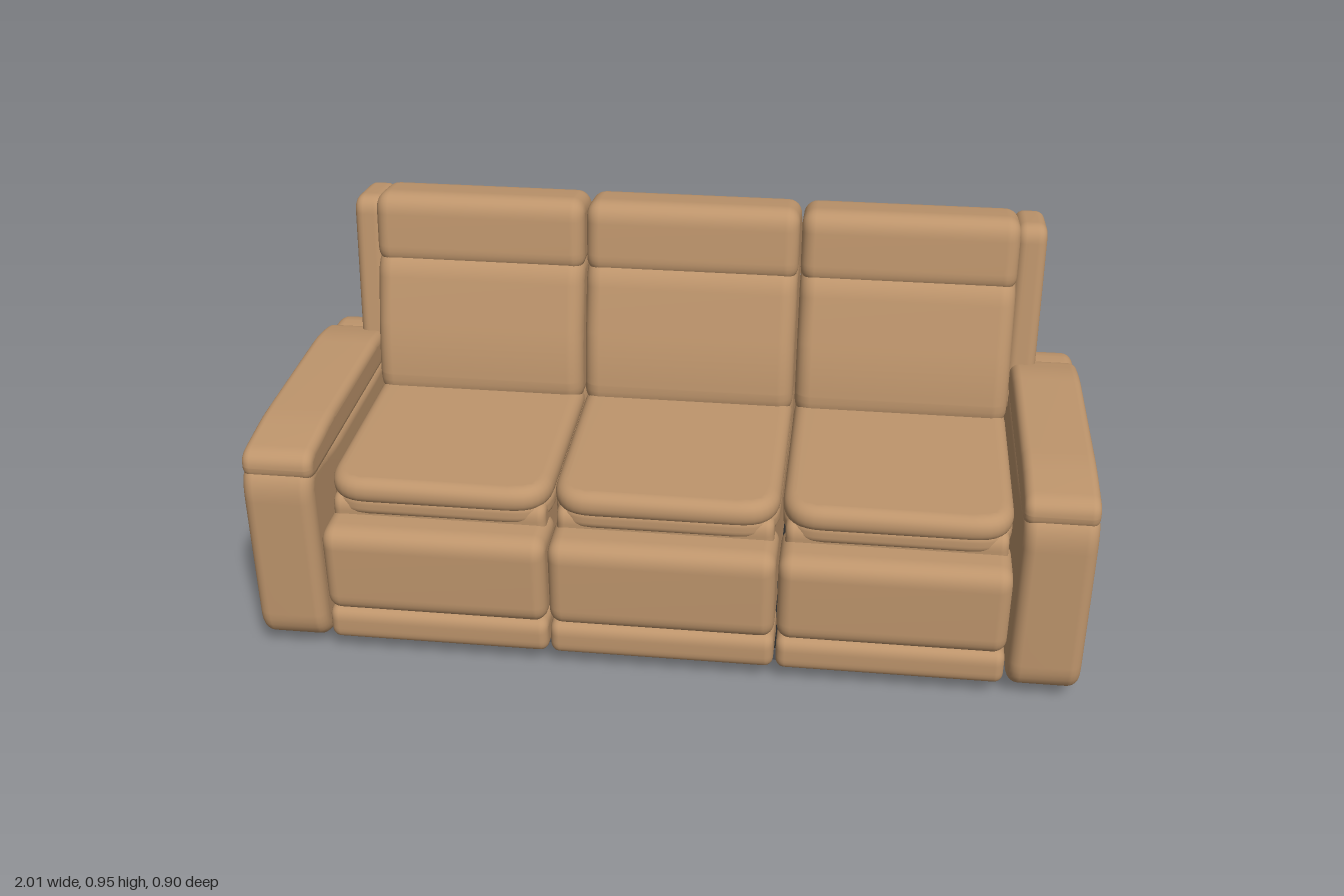
import * as THREE from 'three';
import { mergeVertices } from 'three/addons/utils/BufferGeometryUtils.js';

const leather = new THREE.MeshStandardMaterial({ color: 0xbe956c });
leather.name = 'tan leather';
const black = new THREE.MeshStandardMaterial({ color: 0x2a2a2a });
black.name = 'black underside';
const grey = new THREE.MeshStandardMaterial({ color: 0x55565a });
grey.name = 'grey metal';

// Polygon with softened corners
function softShape(points, radius) {
  const shape = new THREE.Shape();
  const p = points.map(([x, y]) => new THREE.Vector2(x, y));
  p.forEach((corner, i) => {
    const toward = (q) => {
      const d = q.clone().sub(corner);
      return corner.clone().add(d.setLength(Math.min(radius, d.length() * 0.49)));
    };
    const a = toward(p[(i + p.length - 1) % p.length]);
    const b = toward(p[(i + 1) % p.length]);
    if (i === 0) shape.moveTo(a.x, a.y);
    else shape.lineTo(a.x, a.y);
    shape.quadraticCurveTo(corner.x, corner.y, b.x, b.y);
  });
  shape.closePath();
  return shape;
}

// Padded solid: outline extruded to a thickness with rounded edges, centred on its depth
function padded(points, thickness, radius, bevel) {
  const depth = thickness - 2 * bevel;
  let geo = new THREE.ExtrudeGeometry(softShape(points, radius), {
    depth, curveSegments: 8, bevelEnabled: true, bevelSegments: 6,
    bevelSize: bevel, bevelThickness: bevel, bevelOffset: -bevel,
  });
  geo.translate(0, 0, -depth / 2);
  geo.deleteAttribute('normal');
  geo.deleteAttribute('uv');
  geo = mergeVertices(geo, 1e-5);
  geo.computeVertexNormals();
  return geo;
}

// Outline given as [z, y], extruded across x
const sidePad = (points, width, radius, bevel) =>
  padded(points, width, radius, bevel).rotateY(-Math.PI / 2);

// Outline given as [x, z], extruded upward
const planPad = (points, height, radius, bevel) =>
  padded(points, height, radius, bevel).rotateX(Math.PI / 2);

const rect = (a0, a1, b0, b1) => [[a0, b0], [a1, b0], [a1, b1], [a0, b1]];

function add(parent, name, geo, material, x = 0, y = 0, z = 0) {
  const mesh = new THREE.Mesh(geo, material);
  mesh.name = name;
  mesh.position.set(x, y, z);
  parent.add(mesh);
  return mesh;
}

export function createModel() {
  const sofa = new THREE.Group();
  sofa.name = 'reclinerSofa';

  // Three identical seats
  const W = 0.542;
  const seatParts = {
    backPanel: sidePad([[-0.45, 0.04], [-0.33, 0.04], [-0.2, 0.4], [-0.3, 0.9], [-0.45, 0.895]], W, 0.055, 0.035),
    backCushion: sidePad([[-0.3, 0.42], [-0.115, 0.42], [-0.13, 0.56], [-0.2, 0.81], [-0.36, 0.81]], W, 0.07, 0.04),
    headrest: sidePad([[-0.4, 0.765], [-0.198, 0.765], [-0.222, 0.957], [-0.392, 0.935]], W, 0.055, 0.035),
    seatBase: sidePad(rect(-0.38, 0.36, 0.045, 0.41), W - 0.02, 0.04, 0.02),
    footrest: sidePad(rect(0.27, 0.45, 0.13, 0.362), W, 0.05, 0.032),
    lowerPanel: sidePad(rect(0.28, 0.442, 0.042, 0.134), W, 0.035, 0.022),
  };
  const cushion = planPad(rect(-W / 2, W / 2, -0.25, 0.372), 0.066, 0.1, 0.03);
  const welt = planPad(rect(-W / 2, W / 2, -0.25, 0.366), 0.056, 0.1, 0.022);
  [-0.548, 0, 0.548].forEach((x, i) => {
    const seat = new THREE.Group();
    seat.name = ['rightSeat', 'middleSeat', 'leftSeat'][i];
    seat.position.x = x;
    for (const [name, geo] of Object.entries(seatParts)) add(seat, name, geo, leather);
    add(seat, 'seatCushion', cushion, leather, 0, 0.425);
    add(seat, 'cushionLowerBand', welt, leather, 0, 0.388);
    sofa.add(seat);
  });

  // Arms, pads, side wings and controls
  const armBody = sidePad([
    [-0.43, 0.025], [0.445, 0.025], [0.445, 0.515], [0.34, 0.515],
    [0.25, 0.492], [-0.2, 0.492], [-0.28, 0.532], [-0.43, 0.525],
  ], 0.172, 0.085, 0.03);
  const armPad = sidePad([
    [-0.295, 0.48], [0.43, 0.48], [0.43, 0.553], [0.26, 0.572], [-0.18, 0.572], [-0.295, 0.55],
  ], 0.172, 0.045, 0.022);
  const wing = sidePad([
    [-0.405, 0.42], [-0.21, 0.42], [-0.272, 0.925], [-0.45, 0.907], [-0.45, 0.8],
  ], 0.076, 0.045, 0.024);
  const capsule = (z0, z1, y0, y1, depth) =>
    new THREE.ExtrudeGeometry(softShape(rect(z0, z1, y0, y1), (y1 - y0) / 2), { depth, bevelEnabled: false })
      .translate(0, 0, -depth / 2).rotateY(-Math.PI / 2);
  const controlPlate = capsule(0.138, 0.222, 0.41, 0.442, 0.006);
  const button = capsule(-0.013, 0.013, -0.01, 0.01, 0.004);
  for (const s of [-1, 1]) {
    const arm = new THREE.Group();
    arm.name = s > 0 ? 'leftArm' : 'rightArm';
    add(arm, 'armBody', armBody, leather, s * 0.913);
    add(arm, 'armPad', armPad, leather, s * 0.911);
    add(arm, 'backWing', wing, leather, s * 0.851);
    add(arm, 'controlPlate', controlPlate, grey, s * 0.999);
    for (const z of [0.163, 0.197]) add(arm, 'controlButton', button, leather, s * 1.001, 0.426, z);
    sofa.add(arm);
  }

  // Underside panel, dividing rails and feet
  add(sofa, 'undersidePanel', new THREE.BoxGeometry(1.62, 0.026, 0.7), black, 0, 0.034, 0.005);
  add(sofa, 'frontRail', new THREE.BoxGeometry(1.62, 0.024, 0.012), grey, 0, 0.034, 0.358);
  for (const x of [-0.274, 0.274])
    add(sofa, 'dividingRail', new THREE.BoxGeometry(0.02, 0.016, 0.7), grey, x, 0.024, 0.005);
  const foot = new THREE.CylinderGeometry(0.018, 0.018, 0.03, 16);
  for (const x of [-0.74, -0.274, 0.274, 0.74])
    for (const z of [0.325, -0.298]) add(sofa, 'foot', foot, grey, x, 0.015, z);

  return sofa;
}
